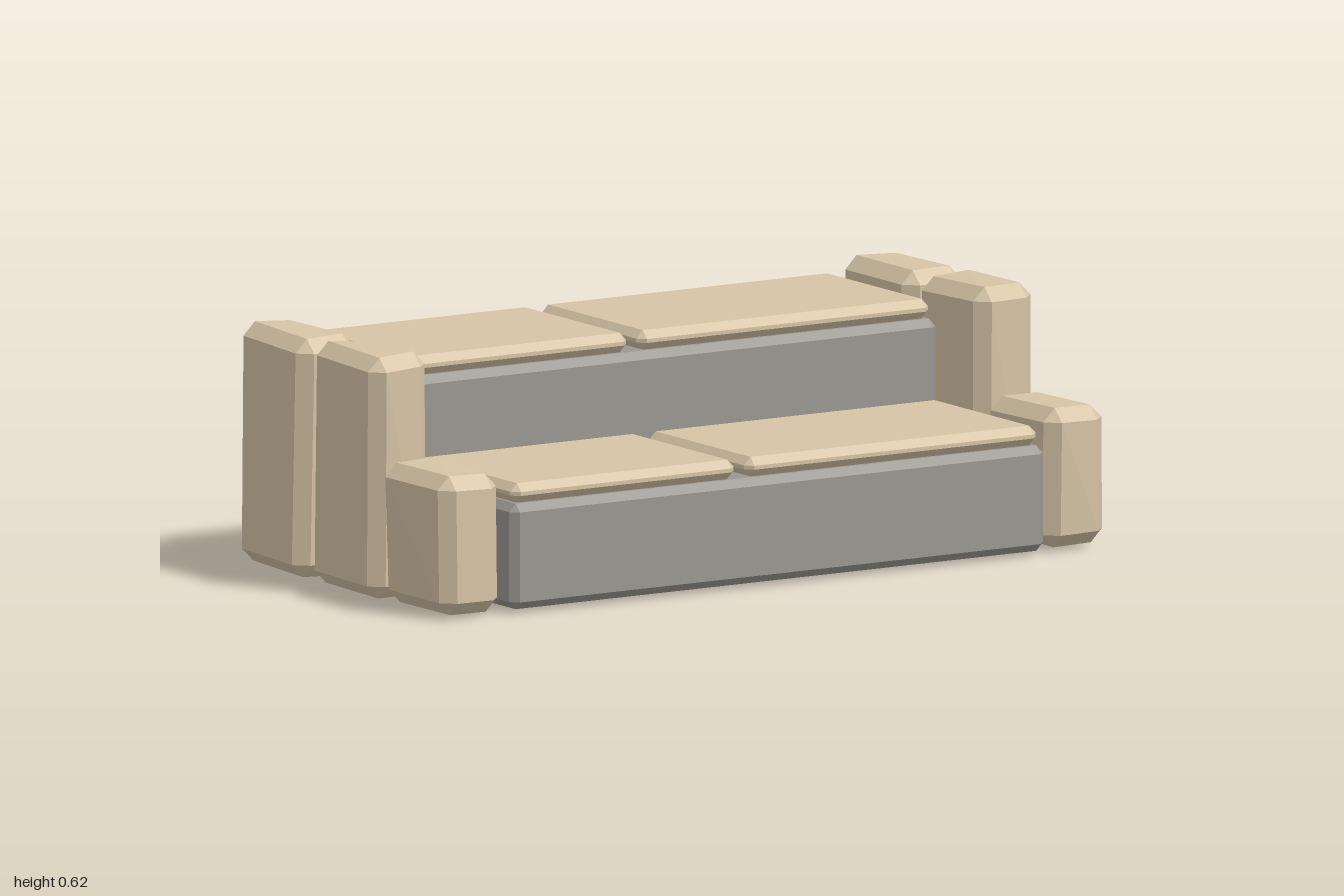
import * as THREE from 'three';
import { ConvexGeometry } from 'three/addons/geometries/ConvexGeometry.js';

const stepMaterial = new THREE.MeshStandardMaterial({ color: 0x9b9892, flatShading: true });
const stoneMaterial = new THREE.MeshStandardMaterial({ color: 0xd6c4a6, flatShading: true });

// Small seeded generator, 0..1
let seed = 11;
function rand() {
  seed = (seed * 16807) % 2147483647;
  return seed / 2147483647;
}

// Chamfered block between two corners; rough nudges each corner inwards
function block(name, min, max, bevel, material, rough = 0) {
  const points = [];
  for (const sx of [0, 1]) for (const sy of [0, 1]) for (const sz of [0, 1]) {
    const s = [sx, sy, sz];
    const corner = s.map((side, i) => (side ? max[i] - rough * rand() : min[i] + rough * rand()));
    // Each corner is cut into three points, one on each adjoining face
    for (let face = 0; face < 3; face++) {
      const p = corner.map((c, i) => (i === face ? c : c + (s[i] ? -bevel : bevel)));
      points.push(new THREE.Vector3(...p));
    }
  }
  const mesh = new THREE.Mesh(new ConvexGeometry(points), material);
  mesh.name = name;
  return mesh;
}

export function createModel() {
  const group = new THREE.Group();
  group.name = 'stoneSteps';

  // Two steps, each topped by a short and a long tread slab
  const steps = [
    { name: 'lower', top: 0.28, z0: 0, z1: 0.5 },
    { name: 'upper', top: 0.53, z0: -0.5, z1: 0 },
  ];
  for (const { name, top, z0, z1 } of steps) {
    group.add(block(name + 'Step', [-0.8, 0.01, z0], [0.8, top, z1], 0.02, stepMaterial));
    for (const [side, x0, x1] of [['Right', -0.79, -0.12], ['Left', -0.09, 0.785]]) {
      group.add(block(name + 'Tread' + side, [x0, top, z0 + 0.01], [x1, top + 0.05, z1 - 0.01],
        0.02, stoneMaterial));
    }
  }

  // Rough upright stones flanking the steps on both sides
  const stones = [
    { name: 'front', top: 0.37, z0: 0.175, z1: 0.5 },
    { name: 'middle', top: 0.625, z0: -0.16, z1: 0.16 },
    { name: 'back', top: 0.625, z0: -0.5, z1: -0.175 },
  ];
  for (const [side, x0, x1] of [['Right', -1, -0.815], ['Left', 0.81, 1]]) {
    for (const { name, top, z0, z1 } of stones) {
      group.add(block(name + 'Stone' + side, [x0, 0, z0], [x1, top, z1], 0.034, stoneMaterial, 0.012));
    }
  }
  return group;
}
